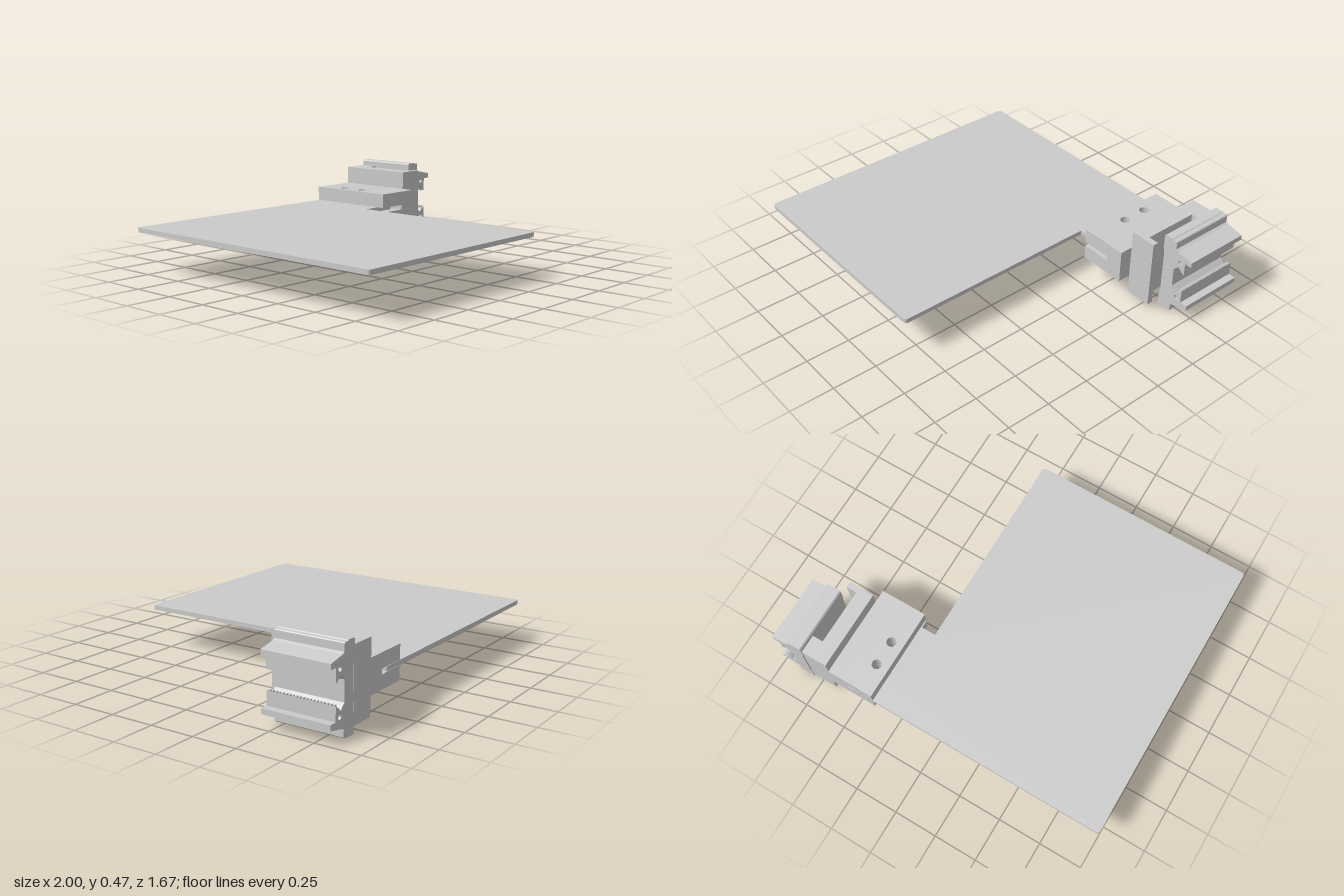
import * as THREE from 'three';

const material = new THREE.MeshStandardMaterial({ color: 0xcccccc, flatShading: true });
const MID = 0.2325; // height of the horizontal symmetry plane

function addMesh(parent, geometry, name) {
  const mesh = new THREE.Mesh(geometry, material);
  mesh.name = name;
  parent.add(mesh);
  return mesh;
}

function addHole(shape, x, y, r) {
  const hole = new THREE.Path();
  hole.absarc(x, y, r, 0, Math.PI * 2, true);
  shape.holes.push(hole);
}

// Plan outline given as (x, z), raised from y0 to y1
function planExtrude(shape, y0, y1) {
  const geometry = new THREE.ExtrudeGeometry(shape, { depth: y1 - y0, bevelEnabled: false, curveSegments: 16 });
  return geometry.rotateX(-Math.PI / 2).translate(0, y0, 0);
}

function planShape(points) {
  return new THREE.Shape(points.map(([x, z]) => new THREE.Vector2(x, -z)));
}

function addBoltHoles(shape) {
  for (const z of [-0.67, -0.525]) addHole(shape, 0.455, -z, 0.027);
}

export function createModel() {
  const model = new THREE.Group();
  model.name = 'plateOnRailClamp';

  // Flat plate with a tab that slides into the clamp
  const c = 0.02, b = 0.835;
  const plate = new THREE.Shape();
  plate.moveTo(-1 + c, -b);
  plate.lineTo(0.295 - c, -b);
  plate.quadraticCurveTo(0.295, -b, 0.295, -b + c);
  plate.lineTo(0.295, 0.35);
  plate.lineTo(0.51, 0.35);
  plate.lineTo(0.51, b);
  plate.lineTo(-1 + c, b);
  plate.quadraticCurveTo(-1, b, -1, b - c);
  plate.lineTo(-1, -b + c);
  plate.quadraticCurveTo(-1, -b, -1 + c, -b);
  addBoltHoles(plate);
  addMesh(model, planExtrude(plate, MID - 0.0125, MID + 0.0125), 'plate');

  // Clamp: two drilled jaws joined by a solid web behind the slot
  const clamp = new THREE.Group();
  clamp.name = 'clamp';
  model.add(clamp);
  for (const [name, y0, y1] of [['lowerJaw', 0.14, MID - 0.014], ['upperJaw', MID + 0.014, 0.328]]) {
    const jaw = planShape([[0.385, -0.3], [0.655, -0.3], [0.655, -b], [0.385, -b]]);
    addBoltHoles(jaw);
    addMesh(clamp, planExtrude(jaw, y0, y1), name);
  }
  const web = new THREE.BoxGeometry(0.1, 0.028, b - 0.3);
  addMesh(clamp, web, 'clampWeb').position.set(0.605, MID, -(b + 0.3) / 2);

  // Mounting block with a vertical channel facing the rail
  const block = planShape([
    [0.655, -0.375], [0.804, -0.375], [0.804, -0.408], [0.742, -0.408],
    [0.742, -0.73], [0.804, -0.73], [0.804, -b], [0.655, -b],
  ]);
  addMesh(model, planExtrude(block, 0.035, 0.43), 'mountingBlock');

  // Rail section: upper half as (x, height above the middle), then mirrored
  const half = [
    [0.888, 0.055], [0.918, 0.085], [0.932, 0.07], [0.958, 0.052],
    [0.958, 0.128], [1, 0.128], [1, 0.157], [0.905, 0.176], [0.89, 0.184],
    [0.89, 0.223], [0.885, 0.228], [0.863, 0.228], [0.858, 0.2325],
    [0.812, 0.2325], [0.805, 0.225], [0.805, 0.14], [0.812, 0.12],
  ];
  const outline = [...half, ...half.map(([x, y]) => [x, -y]).reverse()];
  const section = new THREE.Shape(outline.map(([x, y]) => new THREE.Vector2(x, MID + y)));
  for (const s of [-1, 1]) addHole(section, 0.925, MID + s * 0.114, 0.013);
  const rail = new THREE.Group();
  rail.name = 'rail';
  model.add(rail);
  const railGeometry = new THREE.ExtrudeGeometry(section, { depth: 0.383, bevelEnabled: false, curveSegments: 12 });
  addMesh(rail, railGeometry.translate(0, 0, -0.838), 'railProfile');

  // Fine teeth along both inner lips
  const toothGeometry = new THREE.BoxGeometry(0.018, 0.012, 0.009);
  for (const s of [-1, 1]) {
    for (let i = 0; i < 20; i++) {
      addMesh(rail, toothGeometry, 'lipTooth').position.set(0.947, MID + s * 0.056, -0.825 + i * 0.0188);
    }
  }
  return model;
}
